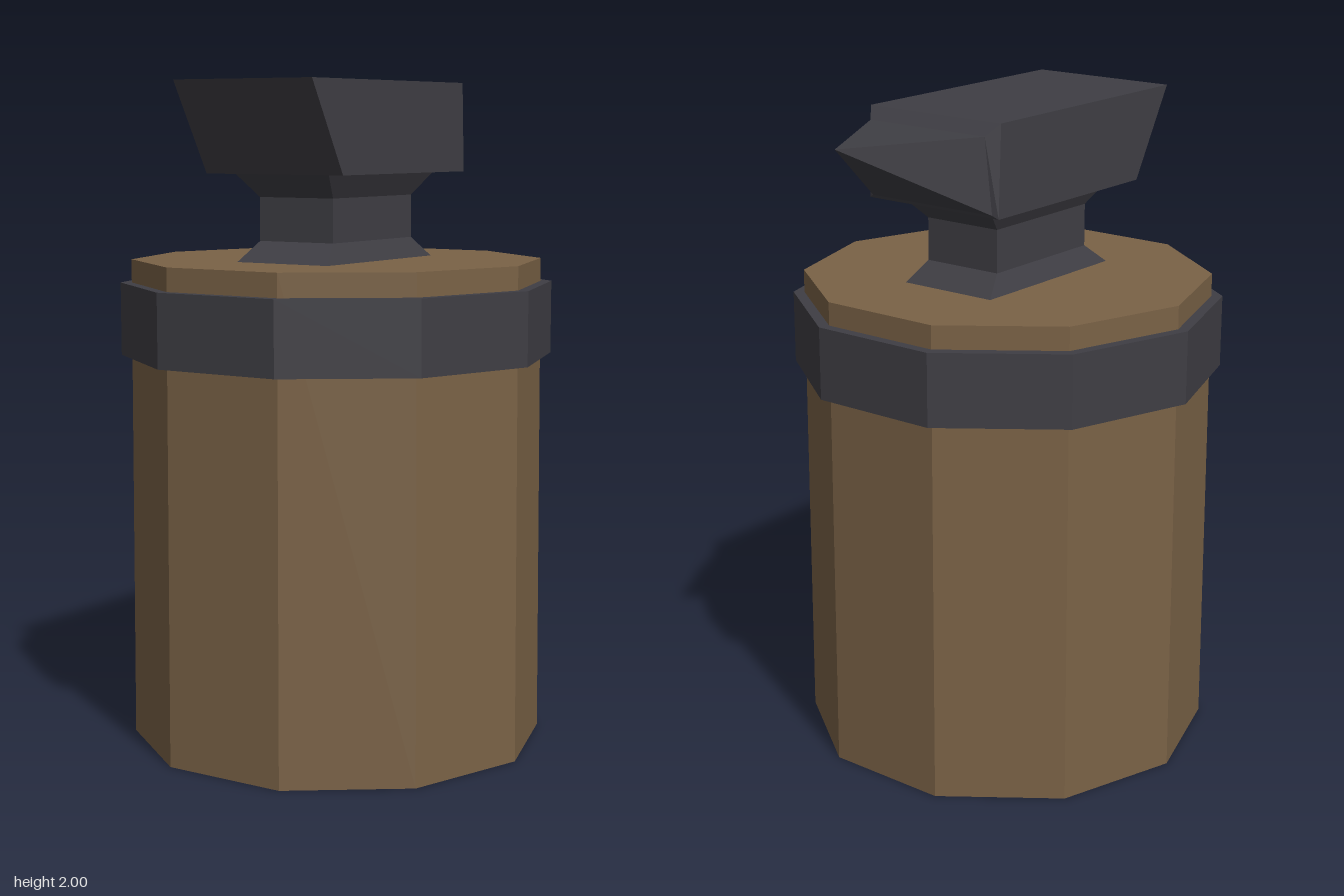
import * as THREE from 'three';

const SIDES = 10;
const STUMP_Z = 0.066;

// Faceted surface of revolution with a corner on the x axis
function facetedLathe(profile) {
  const points = profile.map(([r, y]) => new THREE.Vector2(r, y));
  const geometry = new THREE.LatheGeometry(points, SIDES, Math.PI / 2).toNonIndexed();
  geometry.computeVertexNormals();
  return geometry;
}

// Flat-faced skin over four-cornered rings, with optional end caps
function loft(rings, capStart, capEnd) {
  const out = [];
  const tri = (a, b, c) => {
    const same = (p, q) => p.every((v, i) => v === q[i]);
    if (!same(a, b) && !same(b, c) && !same(a, c)) out.push(...a, ...b, ...c);
  };
  const quad = (a, b, c, d) => { tri(a, b, c); tri(a, c, d); };
  for (let r = 0; r < rings.length - 1; r++) {
    const [p, q] = [rings[r], rings[r + 1]];
    for (let i = 0; i < 4; i++) {
      const j = (i + 1) % 4;
      quad(p[i], p[j], q[j], q[i]);
    }
  }
  if (capStart) quad(...[...rings[0]].reverse());
  if (capEnd) quad(...rings[rings.length - 1]);
  const geometry = new THREE.BufferGeometry();
  geometry.setAttribute('position', new THREE.Float32BufferAttribute(out, 3));
  geometry.computeVertexNormals();
  return geometry;
}

// Horizontal rectangle: height, half width, front z, back z
const level = (y, w, front, back) => [[w, y, front], [w, y, back], [-w, y, back], [-w, y, front]];

// Upright section facing back: bottom and top each as [half width, y, z]
const upright = ([bw, by, bz], [tw, ty, tz]) =>
  [[bw, by, bz], [-bw, by, bz], [-tw, ty, tz], [tw, ty, tz]];

export function createModel() {
  const wood = new THREE.MeshStandardMaterial({ color: 0x7a6246, side: THREE.DoubleSide });
  wood.name = 'brown wood';
  const iron = new THREE.MeshStandardMaterial({ color: 0x3f3e44 });
  iron.name = 'dark iron';

  const model = new THREE.Group();
  model.name = 'anvilOnStump';
  const add = (name, geometry, material, z = 0) => {
    const mesh = new THREE.Mesh(geometry, material);
    mesh.name = name;
    mesh.position.z = z;
    model.add(mesh);
  };

  // Stump, open underneath
  add('stump', facetedLathe([[0.63, 0], [0.622, 1.47], [0, 1.47]]), wood, STUMP_Z);

  // Iron hoop around the stump
  add('hoop', facetedLathe([[0.62, 1.18], [0.656, 1.18], [0.656, 1.4], [0.62, 1.4]]), iron, STUMP_Z);

  // Flared foot and waist
  add('anvilFoot', loft([
    level(1.47, 0.16, 0.36, -0.22),
    level(1.53, 0.13, 0.285, -0.15),
    level(1.66, 0.13, 0.285, -0.15),
    level(1.73, 0.165, 0.36, -0.225),
  ], true, true), iron);

  // Body with overhanging front
  add('anvilBody', loft([
    level(1.73, 0.24, 0.4, -0.283),
    level(2, 0.24, 0.555, -0.272),
  ], true, true), iron);

  // Bevelled collar narrowing into the pointed horn
  const tip = [0, 1.963, -0.69];
  add('anvilHorn', loft([
    upright([0.24, 1.73, -0.283], [0.24, 2, -0.272]),
    upright([0.222, 1.74, -0.29], [0.21, 1.965, -0.308]),
    [tip, tip, tip, tip],
  ], false, false), iron);

  return model;
}
